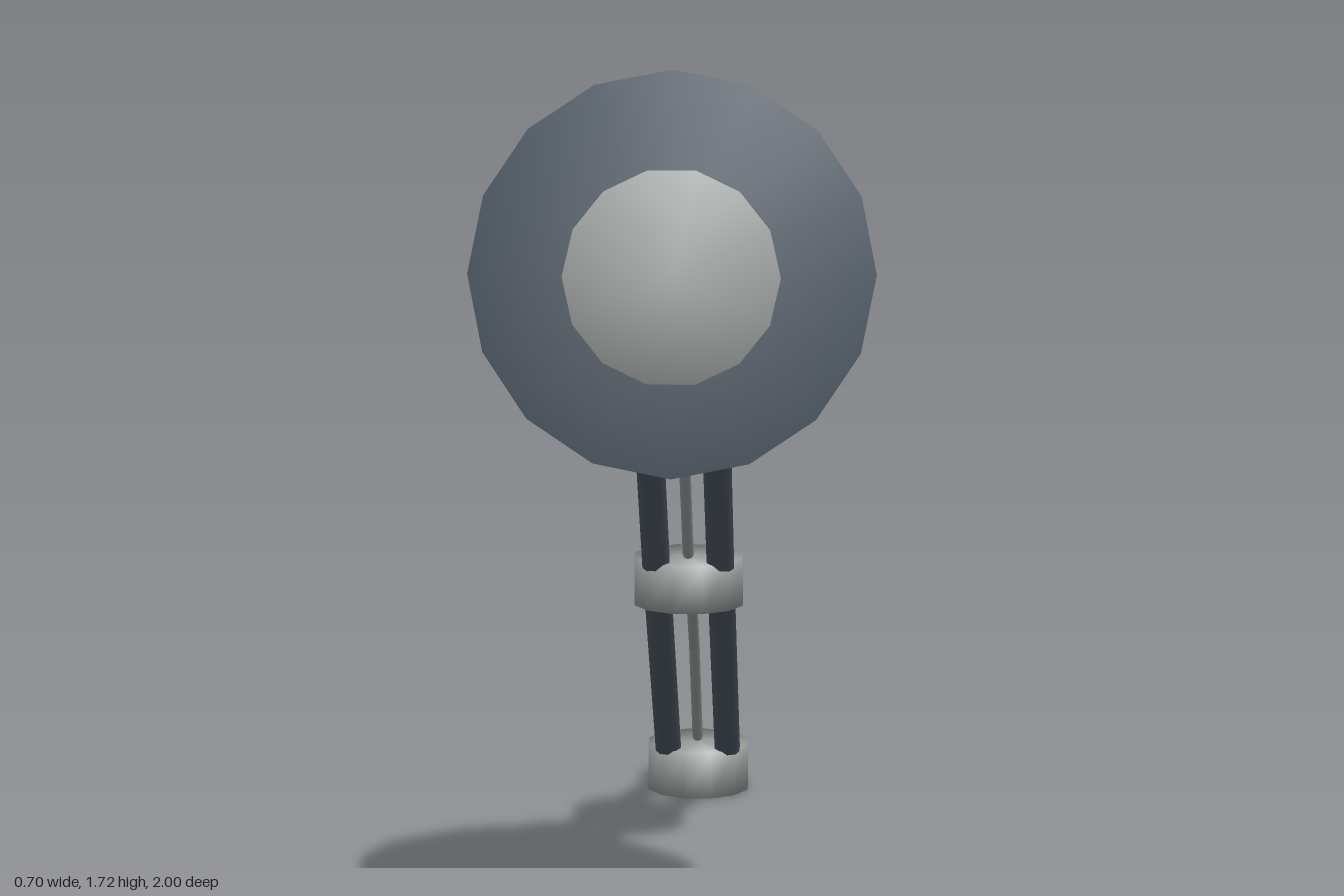
import * as THREE from 'three';
import { mergeVertices } from 'three/addons/utils/BufferGeometryUtils.js';

const dark = new THREE.MeshStandardMaterial({ color: 0x4e5863 });
dark.name = 'slateGrey';
const light = new THREE.MeshStandardMaterial({ color: 0x9a9e9d });
light.name = 'lightGrey';

// Share corner vertices so shading rolls softly over the edges
function soften(geometry) {
  geometry.deleteAttribute('uv');
  geometry.deleteAttribute('normal');
  const merged = mergeVertices(geometry, 1e-4);
  merged.computeVertexNormals();
  return merged;
}

function add(parent, name, geometry, material) {
  const mesh = new THREE.Mesh(geometry, material);
  mesh.name = name;
  parent.add(mesh);
  return mesh;
}

// Round bar between two points given as [x, y, z]
function bar(parent, name, from, to, radius, sides, material) {
  const a = new THREE.Vector3(...from), b = new THREE.Vector3(...to);
  const dir = b.clone().sub(a);
  const mesh = add(parent, name, soften(new THREE.CylinderGeometry(radius, radius, dir.length(), sides)), material);
  mesh.position.copy(a).add(b).multiplyScalar(0.5);
  mesh.quaternion.setFromUnitVectors(new THREE.Vector3(0, 1, 0), dir.normalize());
}

// Skin over circular sections [y, z, radius, tilt], ordered back to front
function sweep(sections, sides) {
  const positions = [], index = [];
  sections.forEach(([y, z, r, tilt], k) => {
    for (let j = 0; j < sides; j++) {
      const a = (j / sides) * Math.PI * 2, up = r * Math.sin(a);
      positions.push(r * Math.cos(a), y + up * Math.cos(tilt), z - up * Math.sin(tilt));
      if (k === 0) continue;
      const n = (j + 1) % sides, b = (k - 1) * sides, f = k * sides;
      index.push(b + j, b + n, f + j, b + n, f + n, f + j);
    }
  });
  const geometry = new THREE.BufferGeometry();
  geometry.setAttribute('position', new THREE.Float32BufferAttribute(positions, 3));
  geometry.setIndex(index);
  return soften(geometry);
}

export function createModel() {
  const lamp = new THREE.Group();
  lamp.name = 'deskLamp';

  // Base and the two joints
  for (const [name, y, z] of [['base', 0.05, -0.893], ['middleJoint', 0.615, -0.15], ['headJoint', 1.272, 0.592]]) {
    const hub = add(lamp, name, soften(new THREE.CylinderGeometry(0.11, 0.11, name === 'base' ? 0.1 : 0.095, 12)), light);
    hub.position.set(0, y, z);
    hub.rotation.y = Math.PI / 12;
  }

  // Paired arm rods
  for (const side of [-1, 1]) {
    const x = side * 0.063;
    bar(lamp, 'lowerArmRod', [x, 0.085, -0.86], [x, 0.605, -0.165], 0.028, 10, dark);
    bar(lamp, 'upperArmRod', [x, 0.645, -0.11], [x, 1.245, 0.58], 0.028, 10, dark);
  }

  // Thin bent tension rods between the arms
  const tensionRods = {
    lowerTensionRod: [[0, 0.125, -0.83], [0, 0.385, -0.56], [0, 0.58, -0.28]],
    upperTensionRod: [[0, 0.675, -0.1], [0, 0.955, 0.21], [0, 1.17, 0.47]],
  };
  for (const [name, [a, b, c]] of Object.entries(tensionRods)) {
    bar(lamp, name, a, b, 0.011, 8, light);
    bar(lamp, name, b, c, 0.011, 8, light);
  }

  // Shade flaring along a curved axis, closed at both ends
  const tilt = 0.186;
  add(lamp, 'shade', sweep([
    [1.254, 0.638, 0, 0.58],
    [1.254, 0.638, 0.095, 0.58],
    [1.322, 0.73, 0.16, 0.45],
    [1.37, 0.842, 0.27, 0.33],
    [1.38, 0.93, 0.351, tilt],
    [1.38, 0.93, 0, tilt],
  ], 16), dark);

  // Bulb disc standing proud of the shade
  const bulb = add(lamp, 'bulb', soften(new THREE.CylinderGeometry(0.187, 0.187, 0.08, 14)), light);
  bulb.position.set(0, 1.373, 0.928);
  bulb.rotation.set(Math.PI / 2 - tilt, Math.PI / 14, 0);

  return lamp;
}
